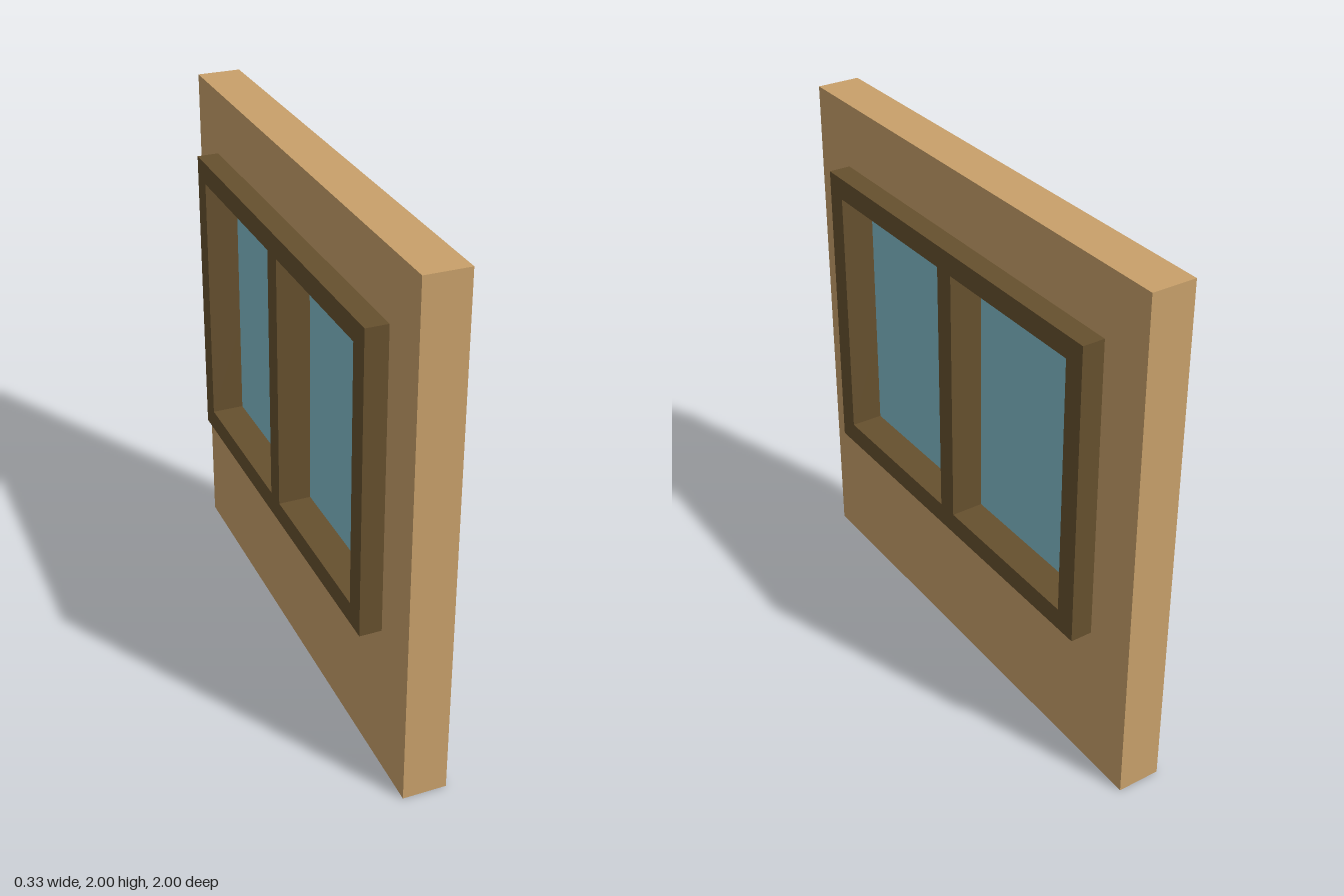
import * as THREE from 'three';

const U = 1 / 24; // modelling unit

const material = (color) => new THREE.MeshStandardMaterial({ color });

// Traces a rectangle spanning z0..z1 and y0..y1 (in units)
function rect(path, z0, y0, z1, y1) {
  path.moveTo(z0 * U, y0 * U);
  path.lineTo(z1 * U, y0 * U);
  path.lineTo(z1 * U, y1 * U);
  path.lineTo(z0 * U, y1 * U);
  path.closePath();
  return path;
}

// Upright slab facing +x and -x, with rectangular openings
function slab(name, outline, openings, thickness, color) {
  const shape = rect(new THREE.Shape(), ...outline);
  shape.holes = openings.map((o) => rect(new THREE.Path(), ...o));
  const geometry = new THREE.ExtrudeGeometry(shape, { depth: thickness * U, bevelEnabled: false });
  geometry.translate(0, 0, (-thickness * U) / 2);
  geometry.rotateY(Math.PI / 2);
  const mesh = new THREE.Mesh(geometry, material(color));
  mesh.name = name;
  return mesh;
}

export function createModel() {
  const group = new THREE.Group();
  group.name = 'windowWall';

  const frameOutline = [-19, 14, 19, 42];
  const panes = [[-17, 16, -1, 40], [1, 16, 17, 40]];

  // Wall panel, cut out where the window sits
  group.add(slab('wall', [-24, 0, 24, 48], [frameOutline], 4, 0xc8a06a));

  // Frame with central mullion, standing proud on both sides
  group.add(slab('windowFrame', frameOutline, panes, 8, 0x66502e));

  // Recessed glass panes
  panes.forEach(([z0, y0, z1, y1], i) => {
    const glass = new THREE.Mesh(
      new THREE.BoxGeometry(2 * U, (y1 - y0) * U, (z1 - z0) * U),
      material(0x80bbc9)
    );
    glass.name = i ? 'frontGlass' : 'backGlass';
    glass.position.set(0, ((y0 + y1) / 2) * U, ((z0 + z1) / 2) * U);
    group.add(glass);
  });

  return group;
}
